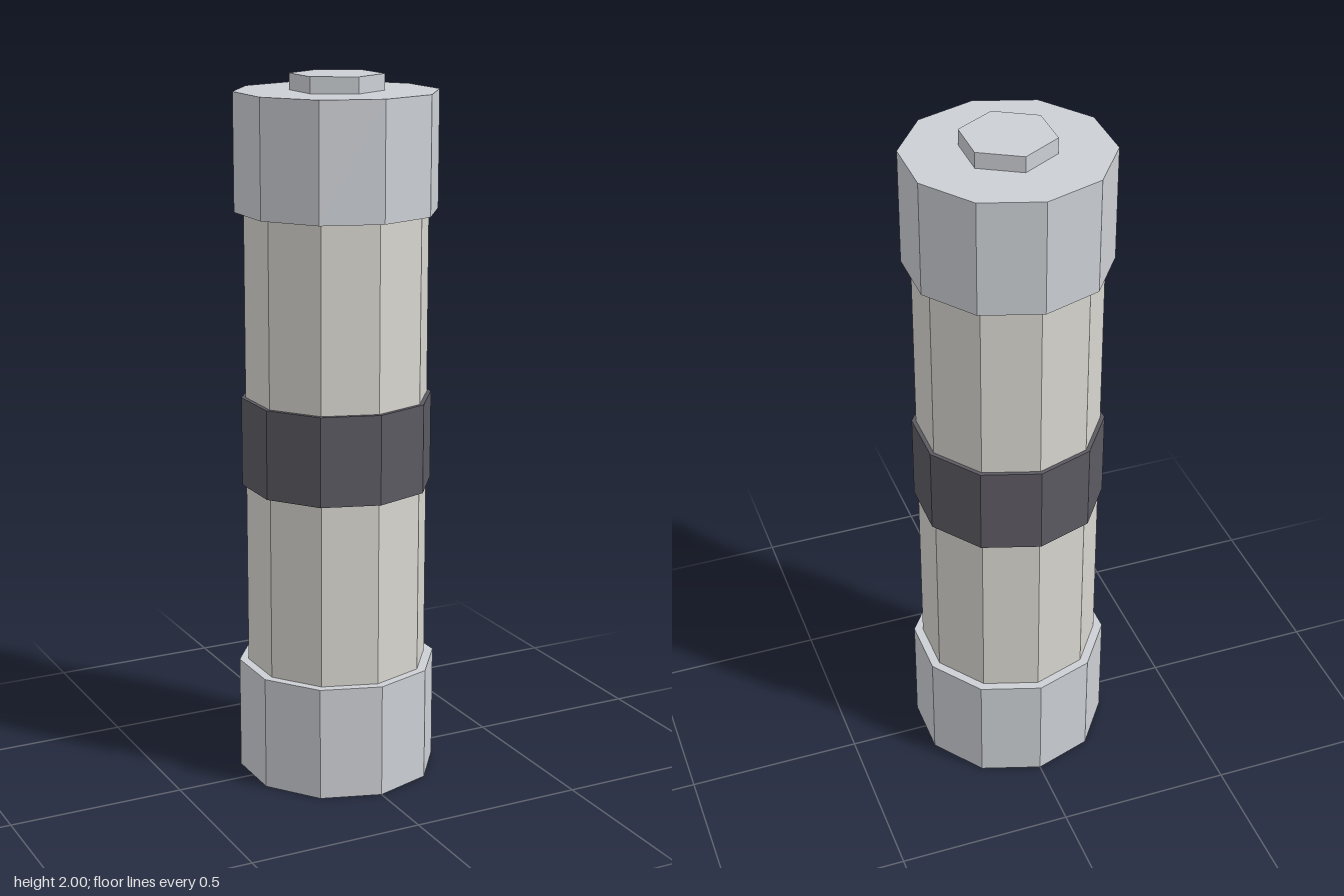
import * as THREE from 'three';

export function createModel() {
  const model = new THREE.Group();
  const material = (color) => new THREE.MeshStandardMaterial({ color, flatShading: true });
  const metal = material(0xcccfd4);
  const ceramic = material(0xd8d6d0);
  const dark = material(0x5c5a62);

  // upright prism between two heights, with a corner facing the front
  function prism(name, radius, bottom, top, sides, mat) {
    const geometry = new THREE.CylinderGeometry(radius, radius, top - bottom, sides);
    const mesh = new THREE.Mesh(geometry, mat);
    mesh.name = name;
    mesh.position.y = (bottom + top) / 2;
    model.add(mesh);
  }

  // tube running into both end caps
  prism('body', 0.258, 0.3, 1.66, 10, ceramic);
  prism('middleBand', 0.27, 0.853, 1.107, 10, dark);

  // end caps and the contact on top
  prism('bottomCap', 0.284, 0, 0.327, 10, metal);
  prism('topCap', 0.284, 1.628, 1.955, 10, metal);
  prism('topContact', 0.13, 1.94, 2, 6, metal);

  return model;
}
